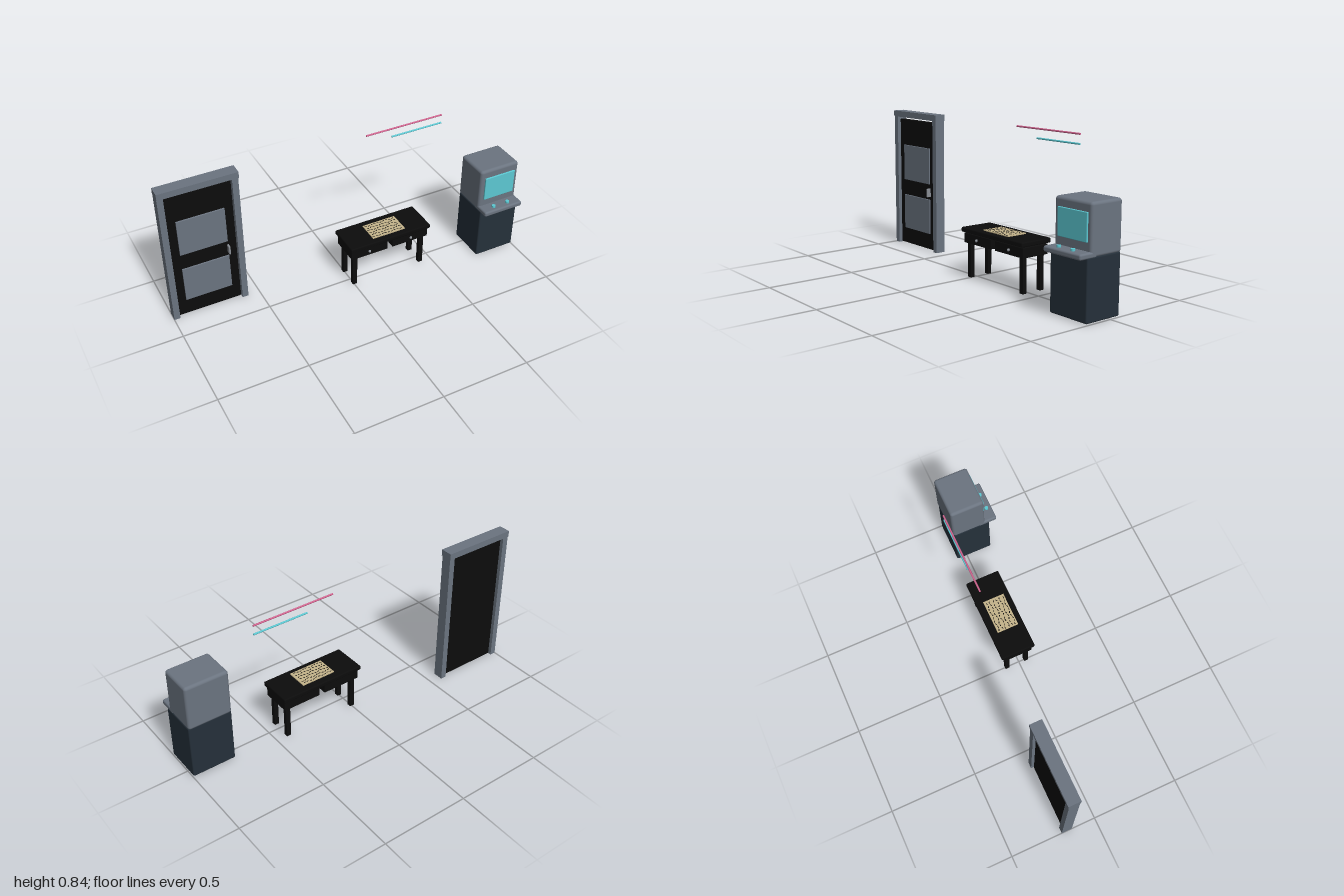
import * as THREE from 'three';
import { RoundedBoxGeometry } from 'three/addons/geometries/RoundedBoxGeometry.js';

const paint = (name, color) => {
  const m = new THREE.MeshStandardMaterial({ color });
  m.name = name;
  return m;
};

export function createModel() {
  const grey = paint('slate grey', 0x6b7480);
  const navy = paint('dark navy', 0x25303a);
  const black = paint('black', 0x0c0c0c);
  const cyan = paint('cyan', 0x5cc8d2);
  const pink = paint('pink', 0xd0648f);
  const tan = paint('paper tan', 0xc4b38a);
  const metal = paint('knob metal', 0x8a8f96);

  const group = (parent, name) => {
    const g = new THREE.Group();
    g.name = name;
    parent.add(g);
    return g;
  };
  const add = (parent, name, geometry, material, x, y, z) => {
    const m = new THREE.Mesh(geometry, material);
    m.name = name;
    m.position.set(x, y, z);
    parent.add(m);
    return m;
  };
  // Box given by its limits on each axis, optionally with rounded edges
  const box = (parent, name, material, [x0, x1], [y0, y1], [z0, z1], r = 0) => {
    const size = [x1 - x0, y1 - y0, z1 - z0];
    const geo = r ? new RoundedBoxGeometry(...size, 4, r) : new THREE.BoxGeometry(...size);
    return add(parent, name, geo, material, (x0 + x1) / 2, (y0 + y1) / 2, (z0 + z1) / 2);
  };

  const model = new THREE.Group();
  model.name = 'room set';

  // Door in its frame
  const door = group(model, 'door');
  for (const x of [-1, -0.602]) box(door, 'doorPost', grey, [x, x + 0.034], [0, 0.8], [-0.2, -0.14]);
  box(door, 'doorHeader', grey, [-1, -0.565], [0.8, 0.836], [-0.205, -0.136]);
  box(door, 'doorSlab', black, [-0.962, -0.604], [0.005, 0.786], [-0.185, -0.157], 0.003);
  for (const y of [[0.41, 0.628], [0.102, 0.315]]) {
    box(door, 'doorPanel', grey, [-0.917, -0.652], y, [-0.16, -0.15], 0.002);
  }
  box(door, 'doorHandle', metal, [-0.657, -0.647], [0.333, 0.385], [-0.16, -0.131], 0.003);

  // Desk
  const desk = group(model, 'desk');
  const cx = 0.215, cz = -0.017;
  box(desk, 'deskTop', black, [-0.035, 0.465], [0.257, 0.283], [-0.117, 0.083], 0.007);
  for (const sx of [-1, 1]) {
    const dx = cx + sx * 0.1285;
    box(desk, 'drawer', black, [dx - 0.1125, dx + 0.1125], [0.197, 0.252], [-0.102, 0.068], 0.003);
    add(desk, 'drawerKnob', new THREE.SphereGeometry(0.008, 16, 12), metal, dx + sx * 0.003, 0.224, 0.072);
    for (const sz of [-1, 1]) {
      const lx = cx + sx * 0.213, lz = cz + sz * 0.059;
      box(desk, 'deskLeg', black, [lx - 0.013, lx + 0.013], [0.005, 0.2], [lz - 0.012, lz + 0.012]);
    }
  }

  // Sheet of paper with rows of wavy pen strokes
  const paper = group(desk, 'paper');
  box(paper, 'paperSheet', tan, [0.116, 0.318], [0.283, 0.288], [-0.075, 0.05]);
  const stroke = new THREE.BoxGeometry(0.012, 0.001, 0.004);
  for (let row = 0; row < 6; row++) {
    for (let i = 0; i < 10; i++) {
      const a = i * 1.7 + row * 2.3;
      const mark = add(paper, 'penStroke', stroke, black,
        0.129 + i * 0.0188 + 0.003 * Math.sin(row * 2), 0.2885, -0.062 + row * 0.02 + 0.003 * Math.sin(a));
      mark.rotation.y = -0.45 * Math.cos(a);
    }
  }

  // Arcade cabinet
  const arcade = group(model, 'arcadeCabinet');
  const wide = [0.75, 0.998];
  box(arcade, 'cabinetBase', navy, wide, [0.005, 0.32], [-0.062, 0.157], 0.008);
  box(arcade, 'cabinetHead', grey, wide, [0.313, 0.574], [-0.068, 0.133], 0.016);
  box(arcade, 'controlShelf', grey, wide, [0.312, 0.342], [0.095, 0.205], 0.01);
  box(arcade, 'screen', cyan, [0.778, 0.973], [0.384, 0.526], [0.125, 0.141], 0.003);
  for (const x of [0.825, 0.918]) {
    add(arcade, 'controlButton', new THREE.CylinderGeometry(0.011, 0.011, 0.014, 20), cyan, x, 0.346, 0.173);
  }

  // Glowing tubes on the wall
  const tubes = group(model, 'wallTubes');
  for (const [name, mat, x0, y] of [['pinkTube', pink, 0.167, 0.833], ['cyanTube', cyan, 0.325, 0.783]]) {
    const tube = add(tubes, name, new THREE.CylinderGeometry(0.005, 0.005, 0.638 - x0, 10), mat,
      (x0 + 0.638) / 2, y, -0.138);
    tube.rotation.z = Math.PI / 2;
  }

  return model;
}
